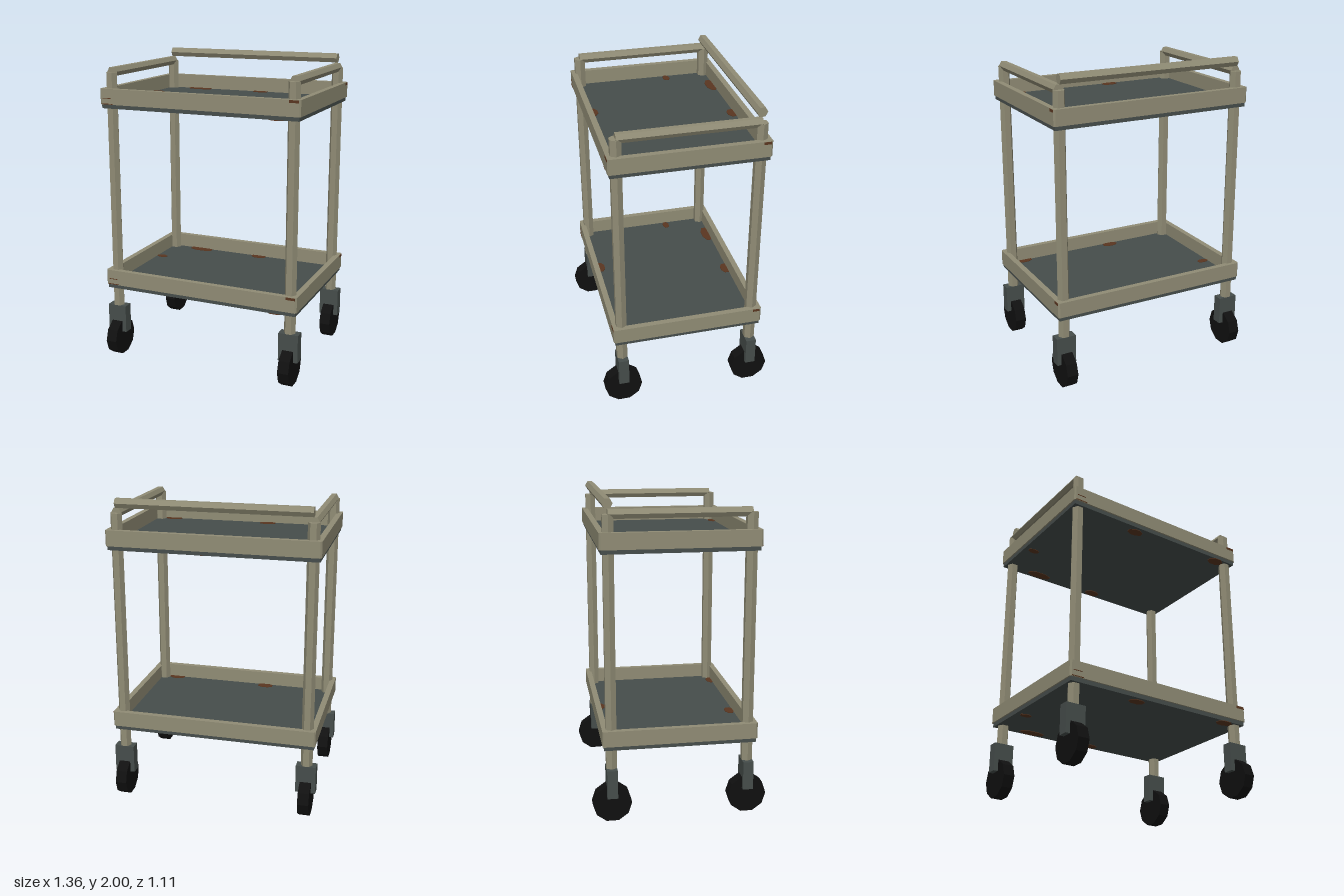
import * as THREE from 'three';

export function createModel() {
  const group = new THREE.Group();
  const mat = (name, color) => {
    const m = new THREE.MeshStandardMaterial({ color, flatShading: true });
    m.name = name;
    return m;
  };
  const cream = mat('cream paint', 0x908c75);
  const steel = mat('dark steel', 0x464d4b);
  const rubber = mat('black rubber', 0x101010);
  const rust = mat('rust', 0x5a3620);

  const add = (name, geo, material, x, y, z) => {
    const m = new THREE.Mesh(geo, material);
    m.name = name;
    m.position.set(x, y, z);
    group.add(m);
    return m;
  };
  const box = (name, material, w, h, d, x, y, z) =>
    add(name, new THREE.BoxGeometry(w, h, d), material, x, y, z);

  const PX = 0.613, PZ = 0.43;

  // Corner posts and casters
  const postGeo = new THREE.CylinderGeometry(0.038, 0.038, 1.57, 6).rotateY(Math.PI / 6);
  const wheelGeo = new THREE.CylinderGeometry(0.123, 0.123, 0.073, 10).rotateZ(Math.PI / 2);
  for (const sx of [-1, 1]) {
    for (const sz of [-1, 1]) {
      add('post', postGeo, cream, sx * PX, 1.125, sz * PZ);
      box('casterBracket', steel, 0.13, 0.185, 0.066, sx * PX, 0.2525, sz * PZ);
      add('wheel', wheelGeo, rubber, sx * PX, 0.117, sz * PZ);
    }
    // Side rail
    const rail = new THREE.CylinderGeometry(0.032, 0.032, 0.86, 6).rotateY(Math.PI / 6).rotateX(Math.PI / 2);
    add('sideRail', rail, cream, sx * PX, 1.912, 0);
  }

  // Push handle across the back
  add('handle', new THREE.CylinderGeometry(0.033, 0.033, 2 * PX, 6).rotateZ(Math.PI / 2),
    cream, 0, 1.9715, -PZ);

  // Tray rim: chamfered rectangle with a hole
  const W = 0.671, D = 0.487, C = 0.01, T = 0.037;
  const outline = new THREE.Shape([
    [-W + C, -D], [W - C, -D], [W, -D + C], [W, D - C],
    [W - C, D], [-W + C, D], [-W, D - C], [-W, -D + C],
  ].map(([x, y]) => new THREE.Vector2(x, y)));
  outline.holes.push(new THREE.Path([
    [-W + T, -D + T], [-W + T, D - T], [W - T, D - T], [W - T, -D + T],
  ].map(([x, y]) => new THREE.Vector2(x, y))));
  const rimGeo = new THREE.ExtrudeGeometry(outline, { depth: 0.1, bevelEnabled: false }).rotateX(-Math.PI / 2);

  // Rust patches on the tray floor: x, z, radius x, radius z
  const patches = [
    [-0.16, 0.425, 0.056, 0.034], [0.52, 0.445, 0.06, 0.038],
    [-0.4, -0.43, 0.09, 0.036], [0.06, -0.435, 0.055, 0.034],
    [-0.595, -0.165, 0.04, 0.024],
  ];

  for (const y of [0.5, 1.71]) {
    add('trayRim', rimGeo, cream, 0, y, 0);
    box('trayFloor', steel, 1.324, 0.033, 0.954, 0, y - 0.0095, 0);
    for (const [x, z, rx, rz] of patches) {
      const spot = new THREE.CylinderGeometry(1, 1, 0.004, 8).rotateY(Math.PI / 8).scale(rx, 1, rz);
      add('floorRust', spot, rust, x, y + 0.0085, z);
      add('undersideRust', spot, rust, x, y - 0.0275, z);
    }
    // Worn rim corners
    box('cornerRust', rust, 0.06, 0.016, 0.004, 0.631, y + 0.09, D);
    box('cornerRust', rust, 0.004, 0.016, 0.045, W, y + 0.09, -0.452);
    box('edgeRust', rust, 0.08, 0.005, 0.004, -0.62, y + 0.004, D);
    box('edgeRust', rust, 0.06, 0.004, 0.004, -0.62, y + 0.04, D);
  }
  return group;
}
